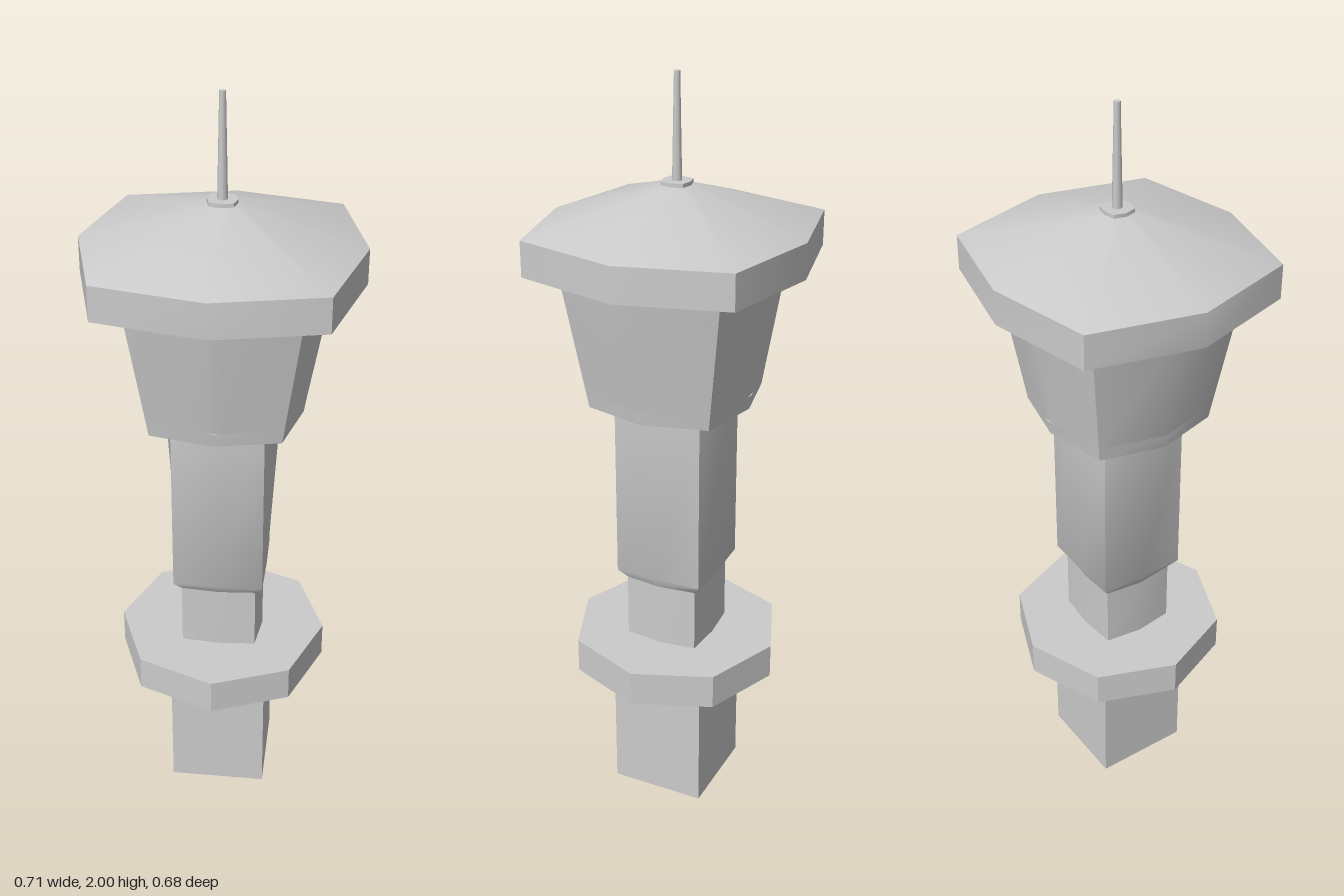
import * as THREE from 'three';
import { toCreasedNormals } from 'three/addons/utils/BufferGeometryUtils.js';

const material = new THREE.MeshStandardMaterial({ color: 0xcccccc });

// One cross-section: axis reach in x and z, diagonal corner d, optional strip half-width c at front and back
function ringPoints([y, ax, az, d, c = 0]) {
  const front = c ? [[c, az], [-c, az]] : [[0, az]];
  const back = c ? [[-c, -az], [c, -az]] : [[0, -az]];
  return [[ax, 0], [d, d], ...front, [-d, d], [-ax, 0], [-d, -d], ...back, [d, -d]]
    .map(([x, z]) => [x, y, z]);
}

// Closed loft through eight-sided sections listed from bottom to top
function loft(name, sections) {
  const rings = sections.map(ringPoints);
  const n = rings[0].length;
  const last = rings.length - 1;
  const pos = [];
  const tri = (...corners) => corners.forEach((p) => pos.push(...p));
  for (let i = 0; i < n; i++) {
    const j = (i + 1) % n;
    for (let k = 0; k < last; k++) {
      const lo = rings[k], hi = rings[k + 1];
      tri(lo[i], hi[i], lo[j]);
      tri(lo[j], hi[i], hi[j]);
    }
    tri([0, sections[0][0], 0], rings[0][i], rings[0][j]);
    tri([0, sections[last][0], 0], rings[last][j], rings[last][i]);
  }
  const geo = new THREE.BufferGeometry();
  geo.setAttribute('position', new THREE.Float32BufferAttribute(pos, 3));
  const mesh = new THREE.Mesh(toCreasedNormals(geo, 0.7), material);
  mesh.name = name;
  return mesh;
}

export function createModel() {
  const tower = new THREE.Group();
  tower.name = 'controlTower';

  // Square foot
  const base = new THREE.Mesh(new THREE.BoxGeometry(0.26, 0.39, 0.26), material);
  base.position.y = 0.195;
  base.name = 'base';
  tower.add(base);

  // Wide ledge and the narrow neck above it
  tower.add(loft('ledge', [[0.385, 0.283, 0.283, 0.203], [0.48, 0.283, 0.283, 0.203]]));
  tower.add(loft('neck', [[0.47, 0.113, 0.108, 0.1], [0.66, 0.113, 0.108, 0.1]]));

  // Shaft: square at the foot, eight-sided at the head
  tower.add(loft('shaft', [
    [0.655, 0.113, 0.108, 0.1],
    [0.682, 0.122, 0.122, 0.12],
    [1.155, 0.15, 0.148, 0.12],
  ]));

  // Cabin sill and flared cabin with a narrow strip at front and back
  tower.add(loft('cabinSill', [
    [1.15, 0.15, 0.148, 0.12],
    [1.172, 0.21, 0.203, 0.167],
    [1.21, 0.216, 0.209, 0.172],
  ]));
  tower.add(loft('cabin', [
    [1.21, 0.216, 0.205, 0.172, 0.018],
    [1.54, 0.275, 0.262, 0.217, 0.022],
  ]));

  // Roof rim and shallow pyramid
  tower.add(loft('roofRim', [[1.535, 0.355, 0.342, 0.28], [1.627, 0.355, 0.342, 0.28]]));
  tower.add(loft('roof', [[1.627, 0.355, 0.342, 0.28], [1.73, 0.036, 0.035, 0.028]]));

  // Mast foot and tapered mast
  tower.add(loft('mastFoot', [[1.725, 0.038, 0.037, 0.03], [1.739, 0.038, 0.037, 0.03]]));
  const mast = new THREE.Mesh(new THREE.CylinderGeometry(0.008, 0.013, 0.265, 8), material);
  mast.position.y = 1.8675;
  mast.name = 'mast';
  tower.add(mast);

  return tower;
}
